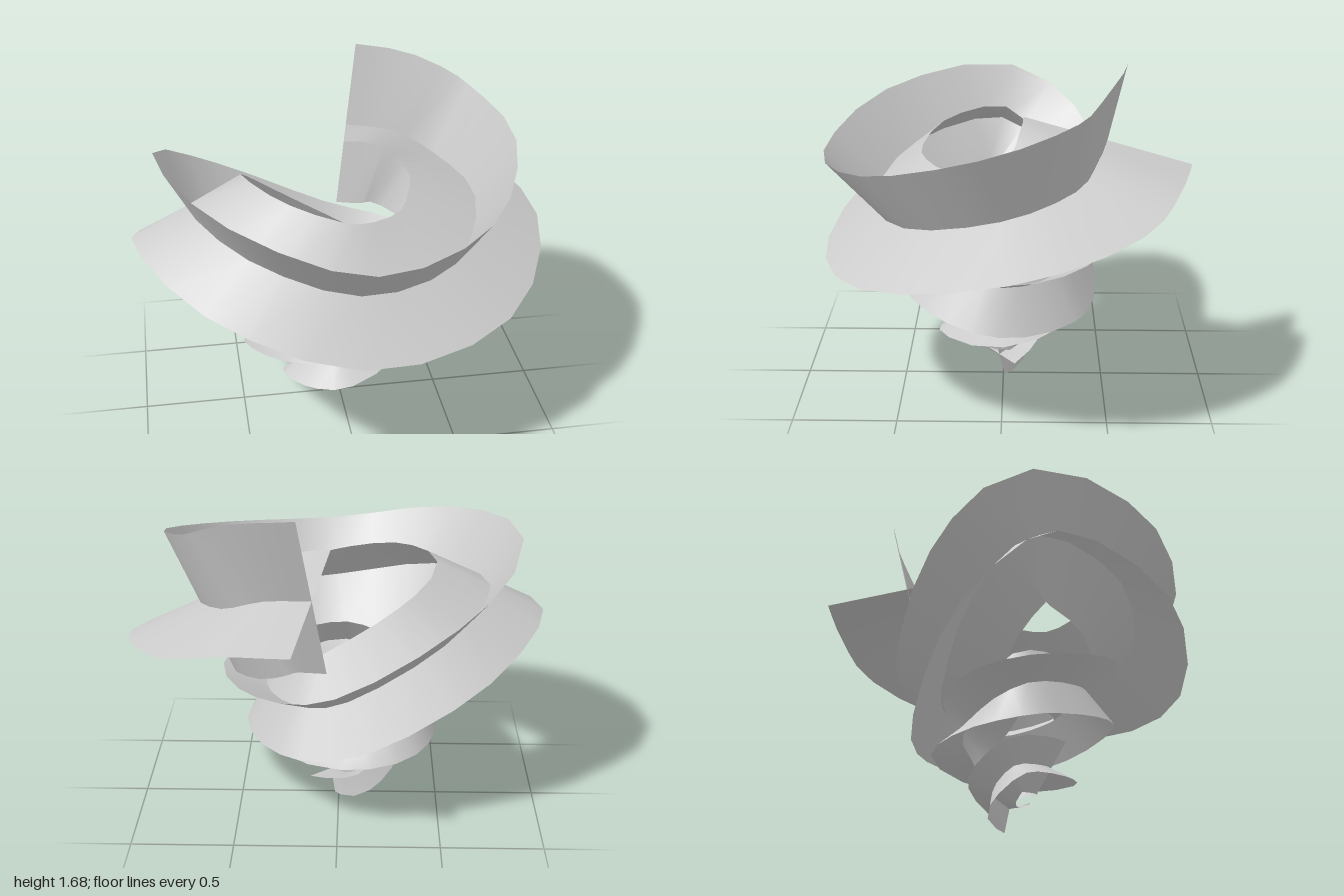
import * as THREE from 'three';

// Stations along the spiral, from the small lower end to the large upper end:
// centre x, y, z | outward heading in degrees | lean of the cross in degrees
const stations = [
  [0.04, 0.13, 0.02, 1043, 90],
  [-0.07, 0.17, -0.08, 960, 60],
  [-0.19, 0.26, 0, 900, 36],
  [-0.14, 0.29, 0.14, 855, 33],
  [0, 0.32, 0.20, 810, 29],
  [0.2, 0.36, 0, 720, 14],
  [0, 0.42, -0.21, 630, 25],
  [-0.28, 0.49, -0.17, 585, 52],
  [-0.43, 0.57, 0.02, 540, 72],
  [-0.29, 0.64, 0.27, 495, 62],
  [-0.03, 0.70, 0.385, 450, 50],
  [0.24, 0.675, 0.26, 405, 58],
  [0.36, 0.64, 0, 360, 64],
  [0.21, 0.645, -0.25, 315, 62],
  [-0.05, 0.70, -0.32, 270, 57],
  [-0.50, 0.96, -0.24, 225, 40],
  [-0.73, 1.16, 0.02, 180, 27],
  [-0.48, 1.10, 0.46, 135, 34],
  [0, 0.97, 0.63, 90, 44],
  [0.47, 0.98, 0.44, 45, 35],
  [0.67, 1.09, 0, 0, 25],
  [0.53, 1.18, -0.33, -42, 18],
  [0.33, 1.265, -0.44, -62, 15],
  [0.11, 1.29, -0.49, -78, 13],
];

const STEPS = 69;
const curveOf = (pick) =>
  new THREE.CatmullRomCurve3(stations.map(pick), false, 'catmullrom', 0.5);
const path = curveOf((s) => new THREE.Vector3(s[0], s[1], s[2]));
const turning = curveOf((s) => new THREE.Vector3(s[3], s[4], 0));

// Centre of the cross and the direction of both arms at t
function sectionAt(t) {
  const centre = path.getPoint(t);
  const tangent = path.getTangent(t);
  const { x: heading, y: lean } = turning.getPoint(t);
  // The arms widen faster and faster towards the upper end
  const half = 0.13 + 0.28 * ((1043 - heading) / 1121) ** 2;
  const a = THREE.MathUtils.degToRad(heading);
  const l = THREE.MathUtils.degToRad(lean);
  const out = new THREE.Vector3(Math.cos(a), 0, Math.sin(a));
  const up = out.clone().cross(tangent).normalize();
  const arm = (o, u) =>
    out.clone().multiplyScalar(o * half).addScaledVector(up, u * half);
  return {
    centre,
    wall: arm(Math.sin(l), Math.cos(l)),
    flange: arm(Math.cos(l), -Math.sin(l)),
  };
}

// One thin band swept along the spiral, through the shared centre line
function ribbon(name, armName, material) {
  const positions = [];
  const index = [];
  for (let i = 0; i <= STEPS; i++) {
    const s = sectionAt(i / STEPS);
    for (const k of [-1, 0, 1]) {
      positions.push(...s.centre.clone().addScaledVector(s[armName], k).toArray());
    }
    if (i === STEPS) break;
    for (let j = 0; j < 2; j++) {
      const p = i * 3 + j;
      index.push(p, p + 3, p + 1, p + 1, p + 3, p + 4);
    }
  }
  const geometry = new THREE.BufferGeometry();
  geometry.setAttribute('position', new THREE.Float32BufferAttribute(positions, 3));
  geometry.setIndex(index);
  geometry.computeVertexNormals();
  const mesh = new THREE.Mesh(geometry, material);
  mesh.name = name;
  return mesh;
}

export function createModel() {
  const group = new THREE.Group();
  group.name = 'crossSpiral';
  const material = new THREE.MeshStandardMaterial({
    color: 0xcccccc,
    side: THREE.DoubleSide,
  });
  // Steep band and the flatter band that crosses it
  group.add(ribbon('wallRibbon', 'wall', material));
  group.add(ribbon('flangeRibbon', 'flange', material));
  return group;
}
